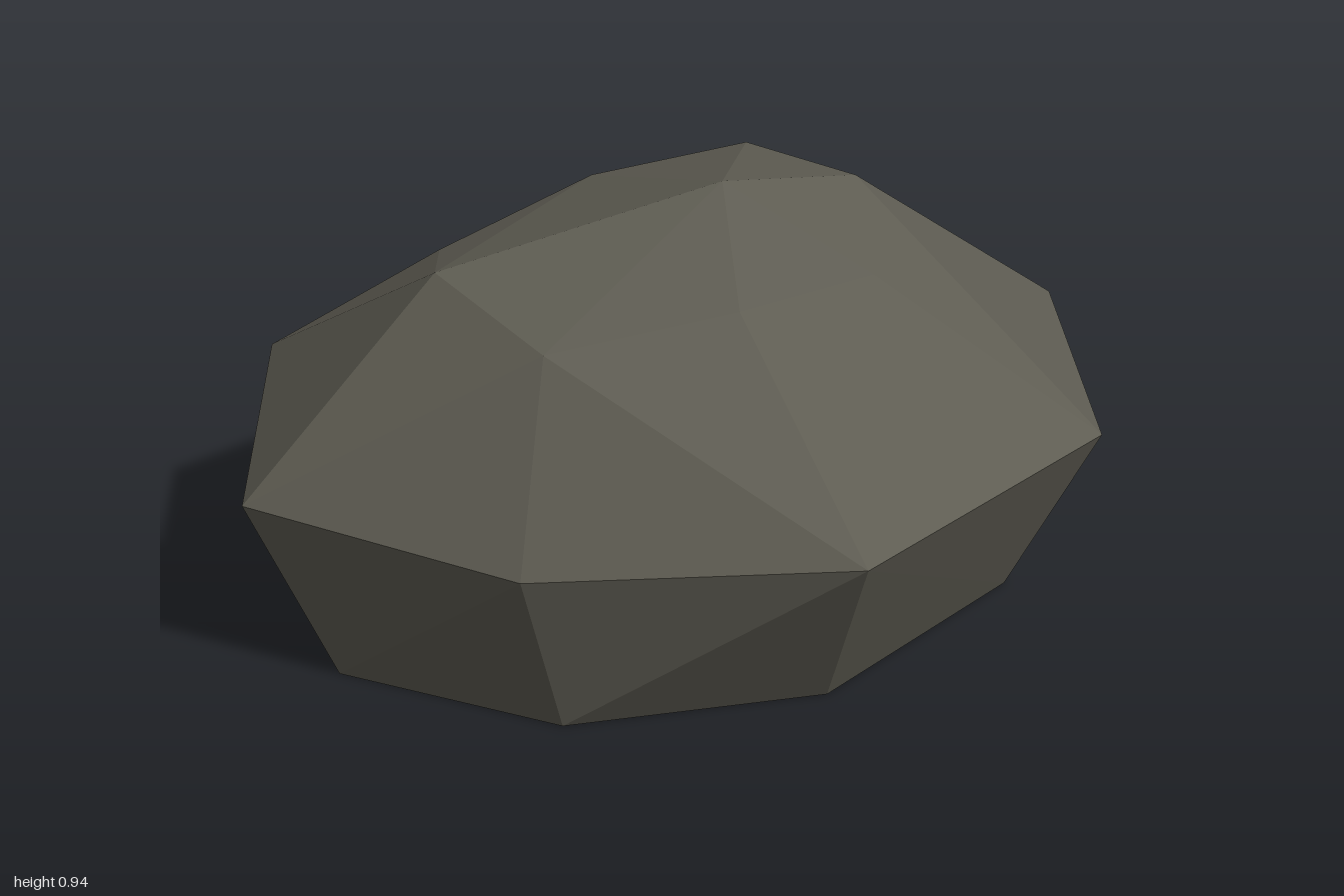
import * as THREE from 'three';
import { ConvexGeometry } from 'three/addons/geometries/ConvexGeometry.js';

// Corner rings of the boulder as [x, y, z], eight per level
const base = [
  [0.84, 0, -0.09], [0.59, 0, -0.6], [-0.01, 0, -0.72], [-0.58, 0, -0.58],
  [-0.83, 0, -0.1], [-0.54, 0, 0.325], [-0.02, 0, 0.53], [0.56, 0, 0.39],
];
const girdle = [
  [1, 0.42, -0.03], [0.73, 0.43, -0.635], [0.03, 0.475, -0.765], [-0.655, 0.474, -0.69],
  [-1, 0.44, -0.15], [-0.65, 0.4, 0.36], [-0.1, 0.45, 0.765], [0.66, 0.425, 0.565],
];
const shoulder = [
  [0.44, 0.855, -0.035], [0.36, 0.84, -0.335], [0.04, 0.79, -0.47], [-0.38, 0.745, -0.41],
  [-0.535, 0.84, -0.15], [-0.49, 0.79, 0.2], [-0.1, 0.825, 0.315], [0.29, 0.77, 0.24],
];
const peak = [[0.08, 0.94, -0.015]];

export function createModel() {
  const group = new THREE.Group();
  group.name = 'rock';

  const stone = new THREE.MeshStandardMaterial({ color: 0x5e5c52, flatShading: true });
  stone.name = 'dark stone';

  // Faceted boulder wrapped around the rings and peak
  const corners = [...base, ...girdle, ...shoulder, ...peak].map((p) => new THREE.Vector3(...p));
  const boulder = new THREE.Mesh(new ConvexGeometry(corners), stone);
  boulder.name = 'boulder';
  group.add(boulder);

  return group;
}
